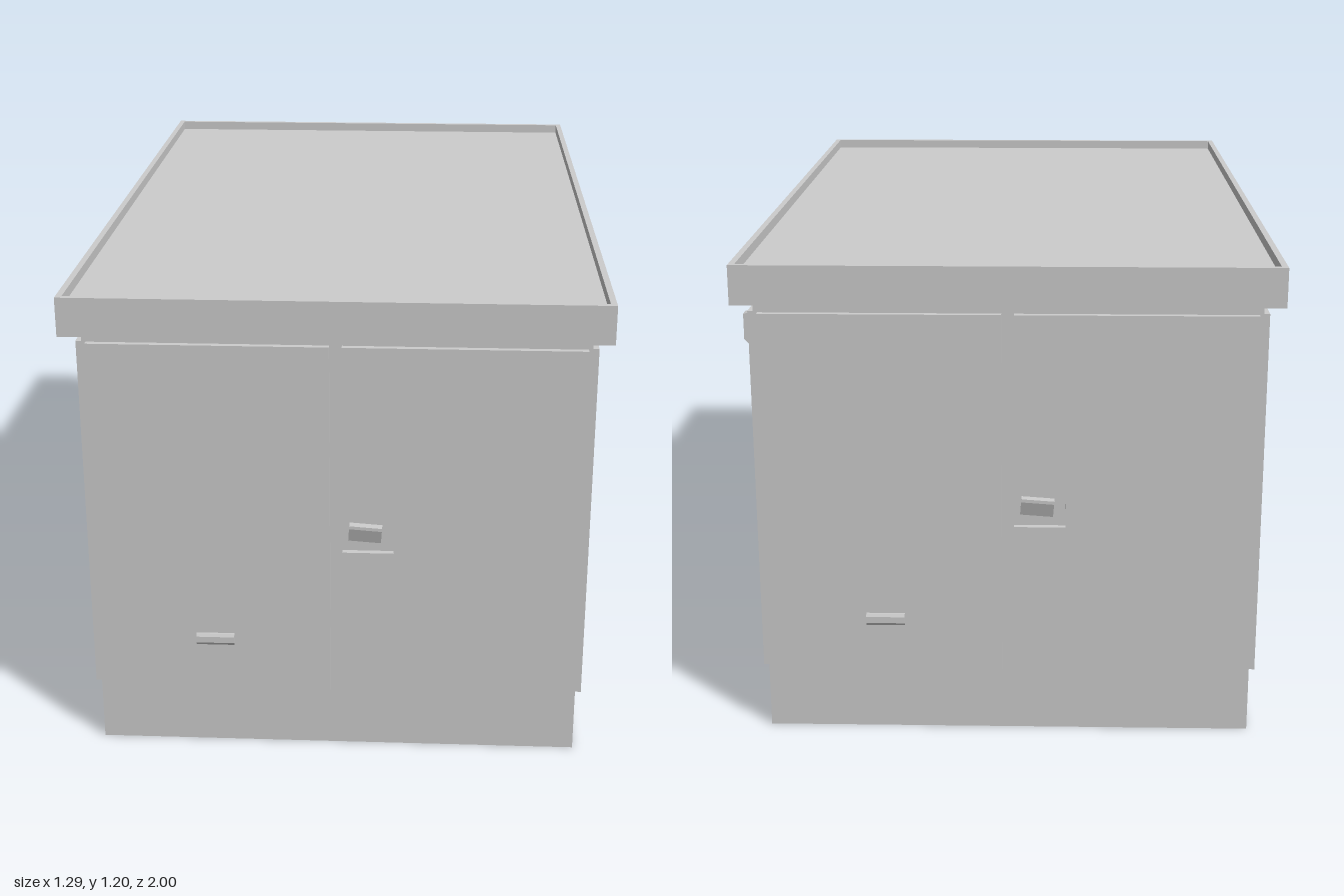
import * as THREE from 'three';

const material = new THREE.MeshStandardMaterial({ color: 0xcccccc, flatShading: true, side: THREE.DoubleSide });

const WALL_X = 0.6, WALL_Z = 0.945;       // outer faces of the walls
const DOOR_BOTTOM = 0.16, DOOR_TOP = 1.075, DOOR_DEPTH = 0.015;

function add(parent, name, geometry, x = 0, y = 0, z = 0) {
  const mesh = new THREE.Mesh(geometry, material);
  mesh.name = name;
  mesh.position.set(x, y, z);
  parent.add(mesh);
  return mesh;
}

function polygon(points) {
  return new THREE.Shape(points.map(([x, y]) => new THREE.Vector2(x, y)));
}

// Upright rectangular tube, open at top and bottom
function ring(halfX, halfZ, thickness, height) {
  const rect = (a, b) => [[-a, -b], [a, -b], [a, b], [-a, b]];
  const shape = polygon(rect(halfX, halfZ));
  shape.holes.push(polygon(rect(halfX - thickness, halfZ - thickness)));
  return new THREE.ExtrudeGeometry(shape, { depth: height, bevelEnabled: false }).rotateX(-Math.PI / 2);
}

// Bar of a given width from an [outward, up] profile
function profileBar(points, width) {
  return new THREE.ExtrudeGeometry(polygon(points), { depth: width, bevelEnabled: false })
    .translate(0, 0, -width / 2)
    .rotateY(-Math.PI / 2);
}

// Door leaf; a handle leaf has a notch in its left edge
function addDoor(side, { from, to, handle, vent, tag }) {
  const outline = [[from, DOOR_BOTTOM], [to, DOOR_BOTTOM], [to, DOOR_TOP], [from, DOOR_TOP]];
  if (handle) outline.push([from, 0.655], [from + 0.125, 0.655], [from + 0.125, 0.545], [from, 0.545]);
  add(side, 'door', new THREE.ExtrudeGeometry(polygon(outline), { depth: DOOR_DEPTH, bevelEnabled: false }));

  if (handle) {
    // Slightly tilted lever, thick at the top and tapering down
    const lever = profileBar([[0, -0.022], [0.01, -0.022], [0.022, 0.014], [0.022, 0.022], [0, 0.022]], 0.08);
    add(side, 'handle', lever, from + 0.056, 0.595, 0).rotation.z = -0.07;
  }
  if (vent) {
    // Small hood with sloped top and bottom
    const hood = profileBar([[0, -0.015], [0.006, -0.015], [0.01, -0.008], [0.01, 0.008], [0.006, 0.015], [0, 0.015]], 0.095);
    add(side, 'vent', hood, (from + to) / 2, 0.3, DOOR_DEPTH);
  }
  if (tag) {
    const hook = profileBar([[0, -0.04], [0.006, -0.04], [0.015, -0.03], [0.015, 0.032], [0, 0.036]], 0.03);
    add(side, 'hingeTag', hook, to - 0.04, 1.03, DOOR_DEPTH);
  }
}

// One wall's doors: local x runs right as seen from outside, local z points outward
function addSide(parent, name, angle, distance, doors) {
  const side = new THREE.Group();
  side.name = name;
  side.rotation.y = angle;
  side.position.set(Math.sin(angle) * distance, 0, Math.cos(angle) * distance);
  doors.forEach((door) => addDoor(side, door));
  parent.add(side);
}

export function createModel() {
  const model = new THREE.Group();
  model.name = 'utilityCabinet';

  // Hollow body, open underneath
  add(model, 'bodyWalls', ring(WALL_X, WALL_Z, 0.01, 1.165));

  // Roof: overhanging rim with a sunken plate
  add(model, 'roofRim', ring(0.645, 1, 0.015, 0.095), 0, 1.105, 0);
  add(model, 'roofPlate', new THREE.BoxGeometry(1.26, 0.01, 1.97), 0, 1.17, 0);

  // Double doors at front and back
  const endDoors = [
    { from: -0.59, to: -0.015, vent: true },
    { from: 0.015, to: 0.59, handle: true },
  ];
  addSide(model, 'frontDoors', 0, WALL_Z, endDoors);
  addSide(model, 'backDoors', Math.PI, WALL_Z, endDoors);

  // Four leaves on each long side
  addSide(model, 'rightHandDoors', Math.PI / 2, WALL_X, [
    { from: -0.94, to: -0.43, vent: true },
    { from: -0.4, to: 0.1, vent: true },
    { from: 0.13, to: 0.655, handle: true },
    { from: 0.68, to: 0.935, tag: true },
  ]);
  addSide(model, 'oppositeDoors', -Math.PI / 2, WALL_X, [
    { from: -0.935, to: -0.68, tag: true },
    { from: -0.655, to: -0.13, handle: true },
    { from: -0.1, to: 0.4, vent: true },
    { from: 0.43, to: 0.94, vent: true },
  ]);

  return model;
}
